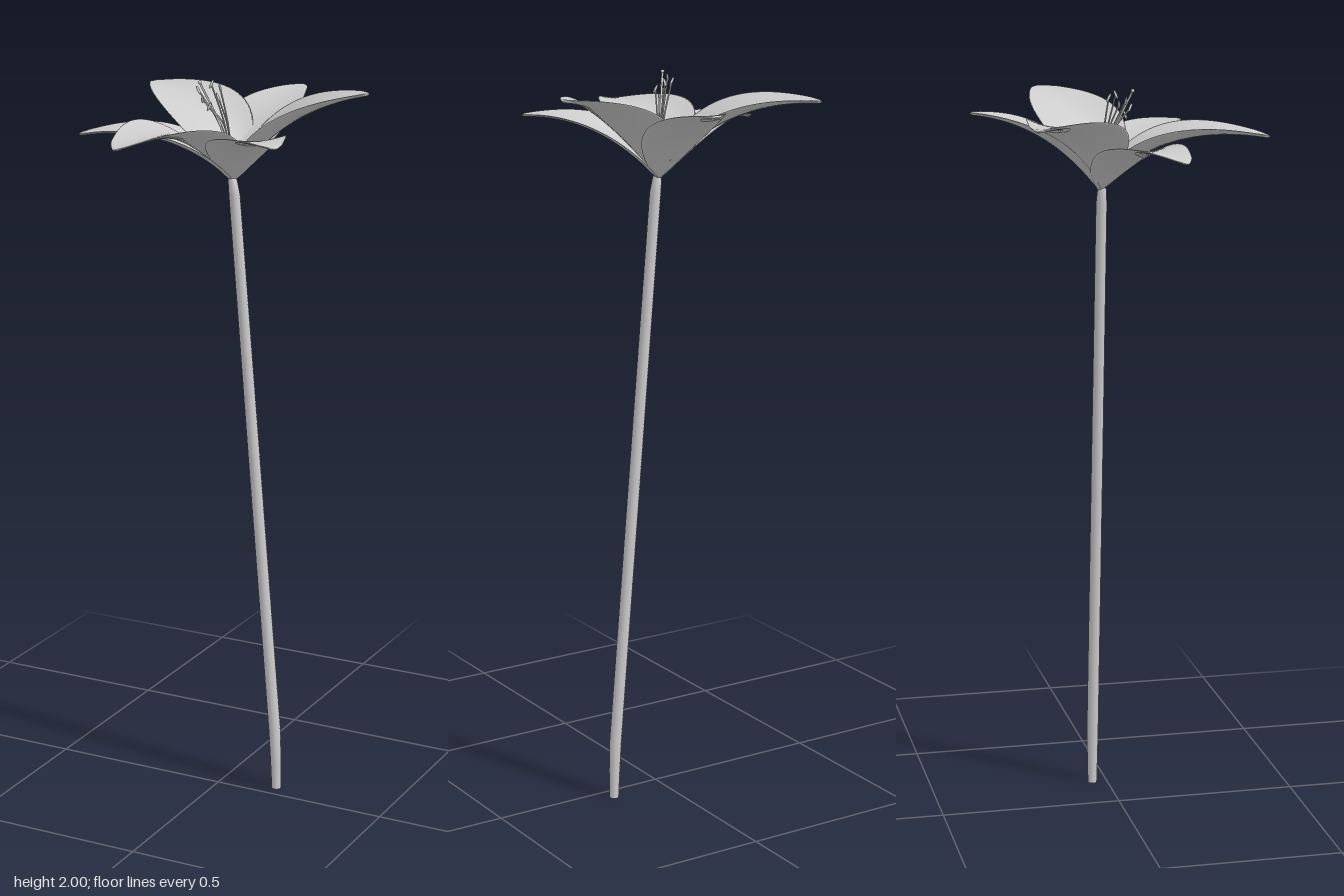
import * as THREE from 'three';

const material = new THREE.MeshStandardMaterial({ color: 0xcccccc });
const HEART = new THREE.Vector3(0.02, 1.735, -0.047); // where all petals meet

// Skin a list of closed rings (arrays of Vector3 of equal length)
function loft(rings) {
  const n = rings[0].length;
  const index = [];
  for (let i = 0; i < rings.length - 1; i++) {
    for (let j = 0; j < n; j++) {
      const k = (j + 1) % n;
      const a = i * n + j, b = i * n + k, c = a + n, d = b + n;
      index.push(a, c, b, b, c, d);
    }
  }
  const geometry = new THREE.BufferGeometry().setFromPoints(rings.flat());
  geometry.setIndex(index);
  geometry.computeVertexNormals();
  return geometry;
}

function addMesh(parent, name, geometry) {
  const mesh = new THREE.Mesh(geometry, material);
  mesh.name = name;
  parent.add(mesh);
  return mesh;
}

// Leaning stem with a small bend near the foot
function stemGeometry() {
  const rows = [ // x, y, radius
    [0.163, 0, 0], [0.163, 0, 0.013], [0.163, 0, 0.013], [0.161, 0.08, 0.015],
    [0.157, 0.17, 0.0165], [0.091, 0.94, 0.016], [0.027, 1.69, 0.015],
    [0.021, 1.73, 0.012], [0.02, 1.75, 0],
  ];
  return loft(rows.map(([x, y, r]) => Array.from({ length: 12 }, (_, j) => {
    const a = (j / 12) * Math.PI * 2;
    return new THREE.Vector3(x + r * Math.cos(a), y, -0.042 + r * Math.sin(a));
  })));
}

// Half width along a petal: narrow claw, broad middle, rounded tip
function petalHalfWidth(t, width) {
  const blade = 0.007 * (1 - t) + width * Math.sin(Math.PI * 0.95 * Math.pow(t, 0.85));
  const end = Math.max(0, (t - 0.93) / 0.07);
  return blade * Math.sqrt(Math.max(0, 1 - end * end));
}

// Cupped petal: midrib is a quadratic arc, the section a thin bent lens
function petalGeometry({ tip, bend, bow, drop, width, cup }) {
  const base = HEART.clone().setY(HEART.y - drop);
  const dx = tip[0] - base.x, dz = tip[2] - base.z;
  const reach = Math.hypot(dx, dz);
  const out = new THREE.Vector3(dx / reach, 0, dz / reach);
  const side = new THREE.Vector3(-out.z, 0, out.x);
  const rib = new THREE.QuadraticBezierCurve(
    new THREE.Vector2(0, 0),
    new THREE.Vector2(bend[0], bend[1]),
    new THREE.Vector2(reach, tip[1] - base.y));
  const rings = [];
  const steps = 32, around = 28;
  for (let i = -1; i <= steps; i++) {
    const t = 1 - Math.pow(1 - Math.max(0, i) / steps, 1.6);
    const p = rib.getPoint(t), d = rib.getTangent(t);
    const half = i < 0 ? 0 : petalHalfWidth(t, width);
    const thick = Math.min(0.0045, half * 0.4);
    const lift = cup * half * (1 - 0.6 * t);
    const sway = bow * Math.sin(Math.PI * t);
    rings.push(Array.from({ length: around }, (_, j) => {
      const a = (j / around) * Math.PI * 2;
      const s = Math.cos(a);
      const up = lift * s * s + thick * Math.sin(a);
      return base.clone()
        .addScaledVector(out, p.x - d.y * up)
        .addScaledVector(side, half * s + sway)
        .add(new THREE.Vector3(0, p.y + d.x * up, 0));
    }));
  }
  return loft(rings);
}

// Thin filament bowing outward from the heart to its tip
function filamentGeometry(tip, radius) {
  const start = HEART.clone().add(new THREE.Vector3(0, 0.02, 0));
  const middle = new THREE.Vector3(
    THREE.MathUtils.lerp(start.x, tip.x, 0.4), 1.88,
    THREE.MathUtils.lerp(start.z, tip.z, 0.4));
  const curve = new THREE.CatmullRomCurve3([start, middle, tip]);
  return new THREE.TubeGeometry(curve, 14, radius, 6);
}

export function createModel() {
  const flower = new THREE.Group();
  flower.name = 'flower';

  addMesh(flower, 'stem', stemGeometry());

  // Three broad inner petals
  const inner = new THREE.Group();
  inner.name = 'innerPetals';
  flower.add(inner);
  [
    { tip: [0.367, 1.97, -0.145], bend: [0.14, 0.2], bow: 0.004 },
    { tip: [-0.335, 1.93, -0.283], bend: [0.16, 0.21], bow: -0.004 },
    { tip: [-0.098, 1.872, 0.387], bend: [0.16, 0.19], bow: 0.022 },
  ].forEach((p) => addMesh(inner, 'innerPetal',
    petalGeometry({ ...p, drop: 0, width: 0.121, cup: 0.4 })));

  // Three narrower outer petals, lying below
  const outer = new THREE.Group();
  outer.name = 'outerPetals';
  flower.add(outer);
  [
    { tip: [0.063, 1.935, -0.388], bend: [0.14, 0.19], bow: -0.006 },
    { tip: [-0.367, 1.842, 0.097], bend: [0.155, 0.17], bow: -0.012 },
    { tip: [0.276, 1.88, 0.225], bend: [0.15, 0.17], bow: 0.012 },
  ].forEach((p) => addMesh(outer, 'outerPetal',
    petalGeometry({ ...p, drop: 0.008, width: 0.097, cup: 0.28 })));

  // Stamens with tilted anthers
  const stamens = new THREE.Group();
  stamens.name = 'stamens';
  flower.add(stamens);
  [
    [-0.055, 1.97, 0.006], [-0.035, 1.95, 0.022], [-0.028, 1.985, -0.015],
    [0.0, 1.955, 0.0], [-0.01, 1.975, -0.03], [-0.02, 1.93, 0.012],
  ].forEach((t, i) => {
    const tip = new THREE.Vector3(...t);
    addMesh(stamens, 'filament', filamentGeometry(tip, 0.0022));
    const anther = addMesh(stamens, 'anther', new THREE.SphereGeometry(1, 10, 8));
    anther.scale.set(0.0035, 0.013, 0.0035);
    anther.position.copy(tip);
    anther.rotation.set(0.5 * Math.sin(i * 2), 0, 0.5 * Math.cos(i * 2));
  });

  // Pistil rising above the stamens
  const pistilTip = new THREE.Vector3(-0.04, 1.995, 0.028);
  addMesh(flower, 'pistil', filamentGeometry(pistilTip, 0.003));
  const stigma = addMesh(flower, 'stigma', new THREE.SphereGeometry(0.005, 10, 8));
  stigma.position.copy(pistilTip);

  return flower;
}
